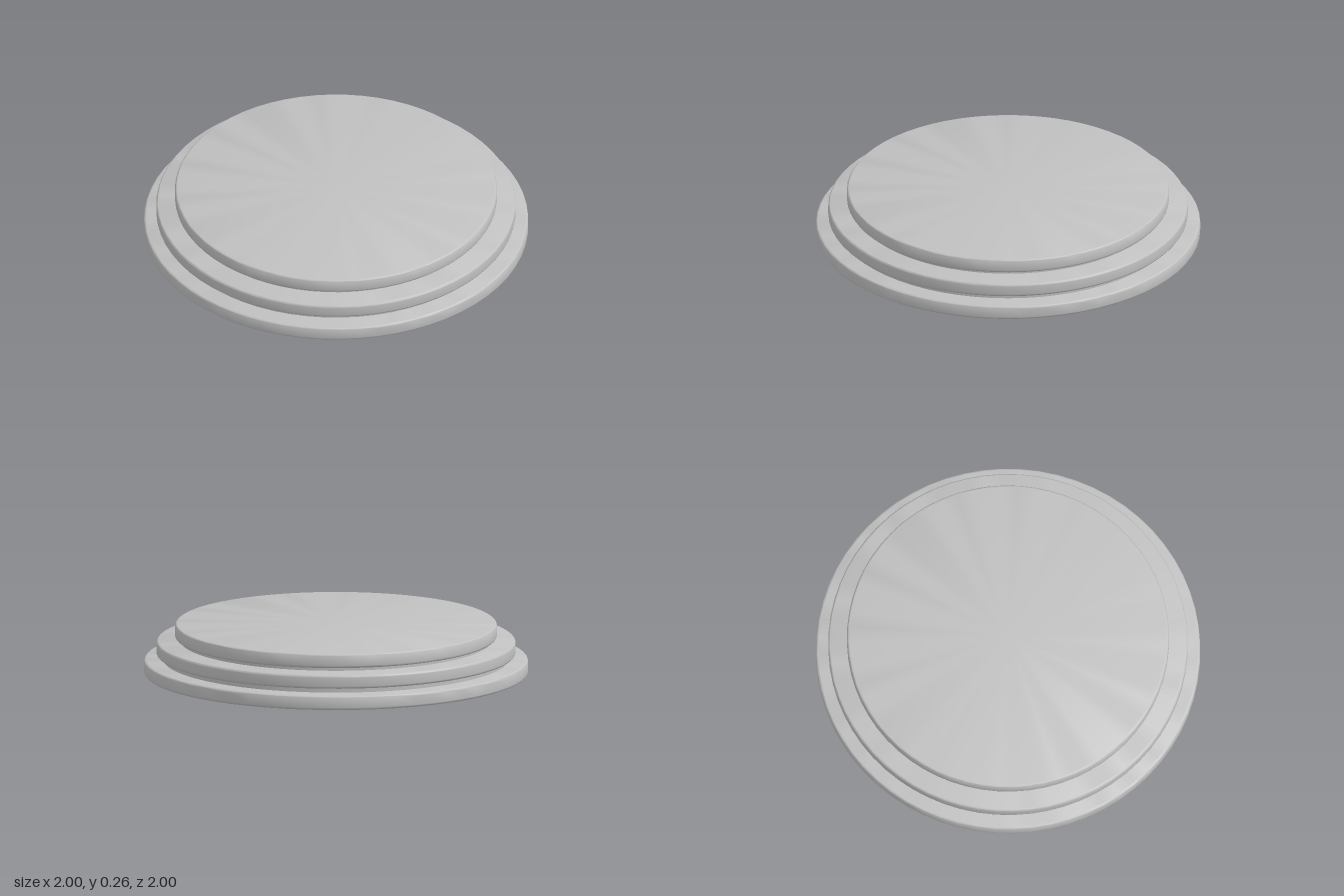
import * as THREE from 'three';
import { toCreasedNormals } from 'three/addons/utils/BufferGeometryUtils.js';

const SIDES = 64;

// Round disc with softened rims, from height y0 to y1
function disc(name, radius, y0, y1, bevel, material) {
  const profile = [new THREE.Vector2(0, y0)];
  const steps = 4;
  for (let i = 0; i <= steps; i++) {
    const a = (i / steps) * Math.PI / 2;
    profile.push(new THREE.Vector2(radius - bevel + bevel * Math.sin(a), y0 + bevel - bevel * Math.cos(a)));
  }
  for (let i = 0; i <= steps; i++) {
    const a = (i / steps) * Math.PI / 2;
    profile.push(new THREE.Vector2(radius - bevel + bevel * Math.cos(a), y1 - bevel + bevel * Math.sin(a)));
  }
  profile.push(new THREE.Vector2(0, y1));
  const geometry = toCreasedNormals(new THREE.LatheGeometry(profile, SIDES), 0.6);
  const mesh = new THREE.Mesh(geometry, material);
  mesh.name = name;
  return mesh;
}

// Recessed band between two discs
function neck(name, radius, y0, y1, material) {
  const geometry = new THREE.CylinderGeometry(radius, radius, y1 - y0, SIDES, 1, true);
  const mesh = new THREE.Mesh(geometry, material);
  mesh.position.y = (y0 + y1) / 2;
  mesh.name = name;
  return mesh;
}

export function createModel() {
  const group = new THREE.Group();
  group.name = 'steppedRoundPlatform';
  const stone = new THREE.MeshStandardMaterial({ color: 0xc0c0c0 });
  stone.name = 'light grey stone';

  // Three stacked steps, separated by shadow gaps
  group.add(
    disc('bottomStep', 1.0, 0, 0.075, 0.014, stone),
    neck('lowerNeck', 0.9, 0.07, 0.105, stone),
    disc('middleStep', 0.935, 0.1, 0.173, 0.014, stone),
    neck('upperNeck', 0.81, 0.168, 0.197, stone),
    disc('topStep', 0.838, 0.19, 0.264, 0.014, stone),
  );
  return group;
}
